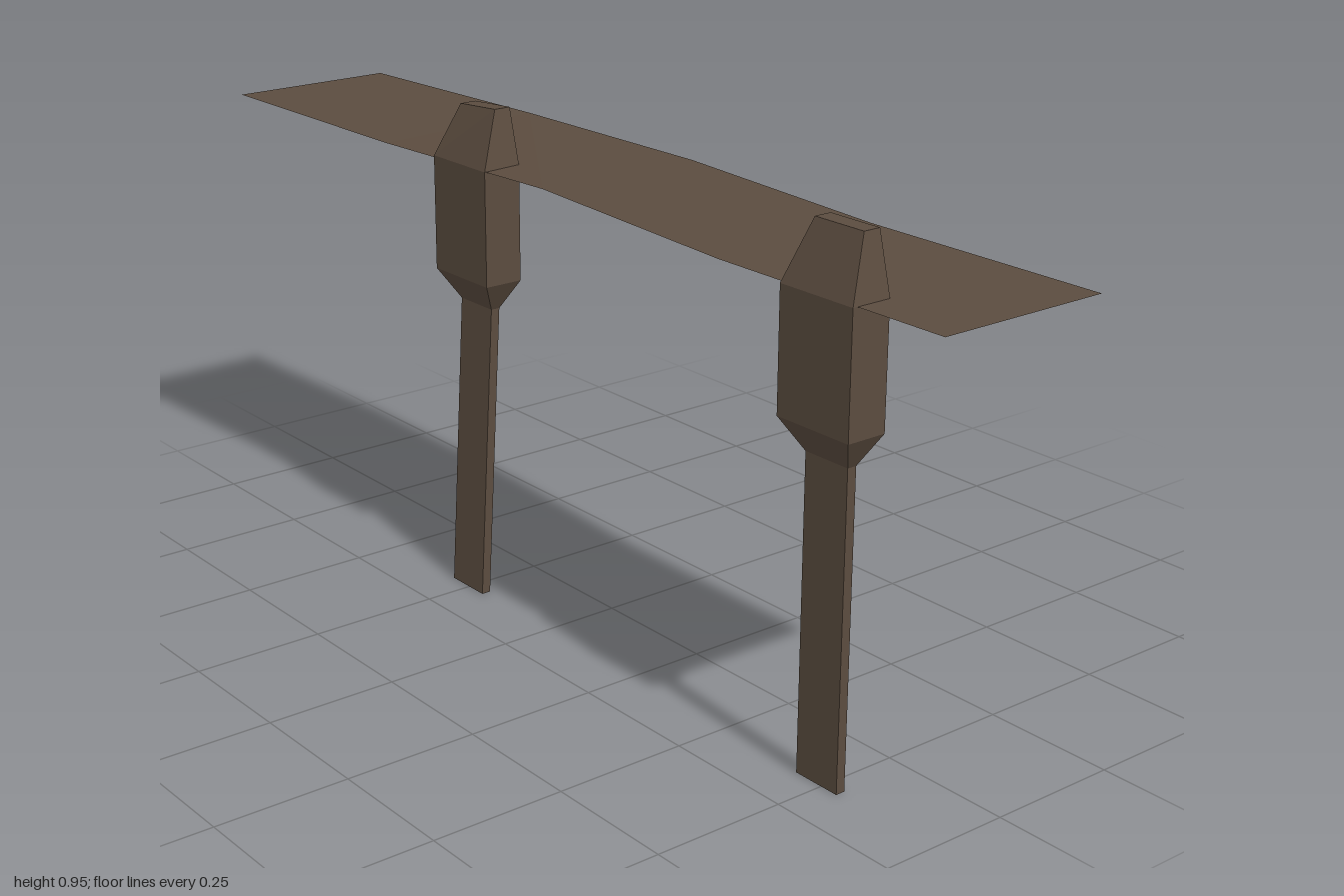
import * as THREE from 'three';

const wood = new THREE.MeshStandardMaterial({ color: 0x5b4c3f, side: THREE.DoubleSide });
wood.name = 'dark brown wood';

// Skin a list of cross-sections (rows of points) with flat-shaded quads
function loft(rows) {
  const pos = rows.flat(2);
  const n = rows[0].length;
  const index = [];
  for (let r = 0; r < rows.length - 1; r++) {
    for (let i = 0; i < n - 1; i++) {
      const a = r * n + i, b = a + 1, c = a + n, d = c + 1;
      index.push(a, c, b, b, c, d);
    }
  }
  const g = new THREE.BufferGeometry();
  g.setAttribute('position', new THREE.Float32BufferAttribute(pos, 3));
  g.setIndex(index);
  const flat = g.toNonIndexed();
  flat.computeVertexNormals();
  return flat;
}

function addMesh(parent, name, rows) {
  const mesh = new THREE.Mesh(loft(rows), wood);
  mesh.name = name;
  parent.add(mesh);
}

// U-shaped section: outer web at x0, two flanges reaching to the open side at x1
const channel = (y, x0, x1, w) => [[x1, y, -w], [x0, y, -w], [x0, y, w], [x1, y, w]];

// Post with a slim leg, a wide hollow head and a closed tapered cap
function makePost(name, z, shift, drop) {
  const post = new THREE.Group();
  post.name = name;
  const s = shift;
  addMesh(post, 'leg', [
    channel(0.57, -0.156 + s, -0.138 + s, 0.048),
    channel(0, -0.156, -0.138, 0.048),
  ]);
  addMesh(post, 'head', [
    channel(0.845, -0.189 + s, -0.112 + s, 0.081),
    channel(0.627, -0.189 + s, -0.112 + s, 0.081),
    channel(0.57, -0.156 + s, -0.138 + s, 0.048),
  ]);
  // cap: closed ring of four sides
  const ring = (y, x0, x1, w, d) => [
    [x1 + s, y - d, -w], [x0 + s, y - d, -w], [x0 + s, y, w], [x1 + s, y, w], [x1 + s, y - d, -w],
  ];
  addMesh(post, 'cap', [
    ring(0.95, -0.145, -0.112, 0.054, drop),
    ring(0.845, -0.189, -0.112, 0.081, 0),
  ]);
  addMesh(post, 'capTop', [
    [[-0.145 + s, 0.95 - drop, -0.054], [-0.112 + s, 0.95 - drop, -0.054]],
    [[-0.145 + s, 0.95, 0.054], [-0.112 + s, 0.95, 0.054]],
  ]);
  post.position.z = z;
  return post;
}

export function createModel() {
  const model = new THREE.Group();
  model.name = 'walkway';

  // deck stations: z, left x, left y, right x, right y
  const stations = [
    [-1, -0.18, 0.845, 0.158, 0.845],
    [-0.5, -0.154, 0.836, 0.185, 0.846],
    [0, -0.154, 0.85, 0.187, 0.849],
    [0.5, -0.18, 0.845, 0.158, 0.845],
    [1, -0.18, 0.845, 0.158, 0.845],
  ];
  addMesh(model, 'deck', stations.map(([z, xa, ya, xb, yb]) => [[xa, ya, z], [xb, yb, z]]));

  model.add(makePost('frontPost', 0.738, 0, 0));
  model.add(makePost('backPost', -0.254, 0.033, 0.008));
  return model;
}
